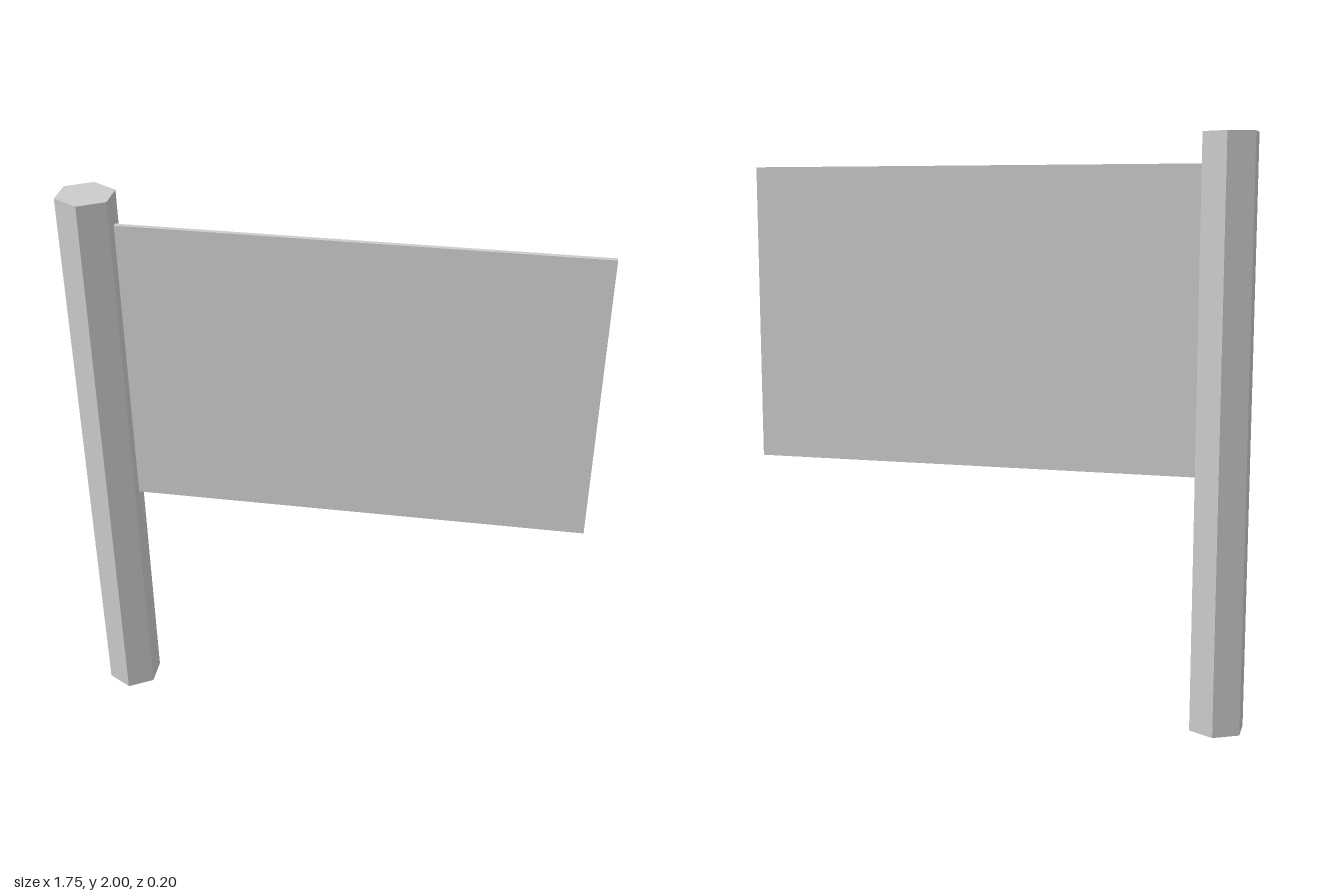
import * as THREE from 'three';

export function createModel() {
  const group = new THREE.Group();
  const material = new THREE.MeshStandardMaterial({ color: 0xcccccc, flatShading: true });

  // Hexagonal pole, corners pointing to the front and back
  const radius = 0.098, poleX = -0.788;
  const pole = new THREE.Mesh(new THREE.CylinderGeometry(radius, radius, 2, 6), material);
  pole.name = 'pole';
  pole.position.set(poleX, 1, 0);
  group.add(pole);

  // Thin flag panel, slightly sunk into the pole's flat side
  const left = -0.71, right = 0.873, bottom = 0.87, top = 1.9;
  const flag = new THREE.Mesh(new THREE.BoxGeometry(right - left, top - bottom, 0.016), material);
  flag.name = 'flag';
  flag.position.set((left + right) / 2, (bottom + top) / 2, -0.006);
  group.add(flag);

  return group;
}
